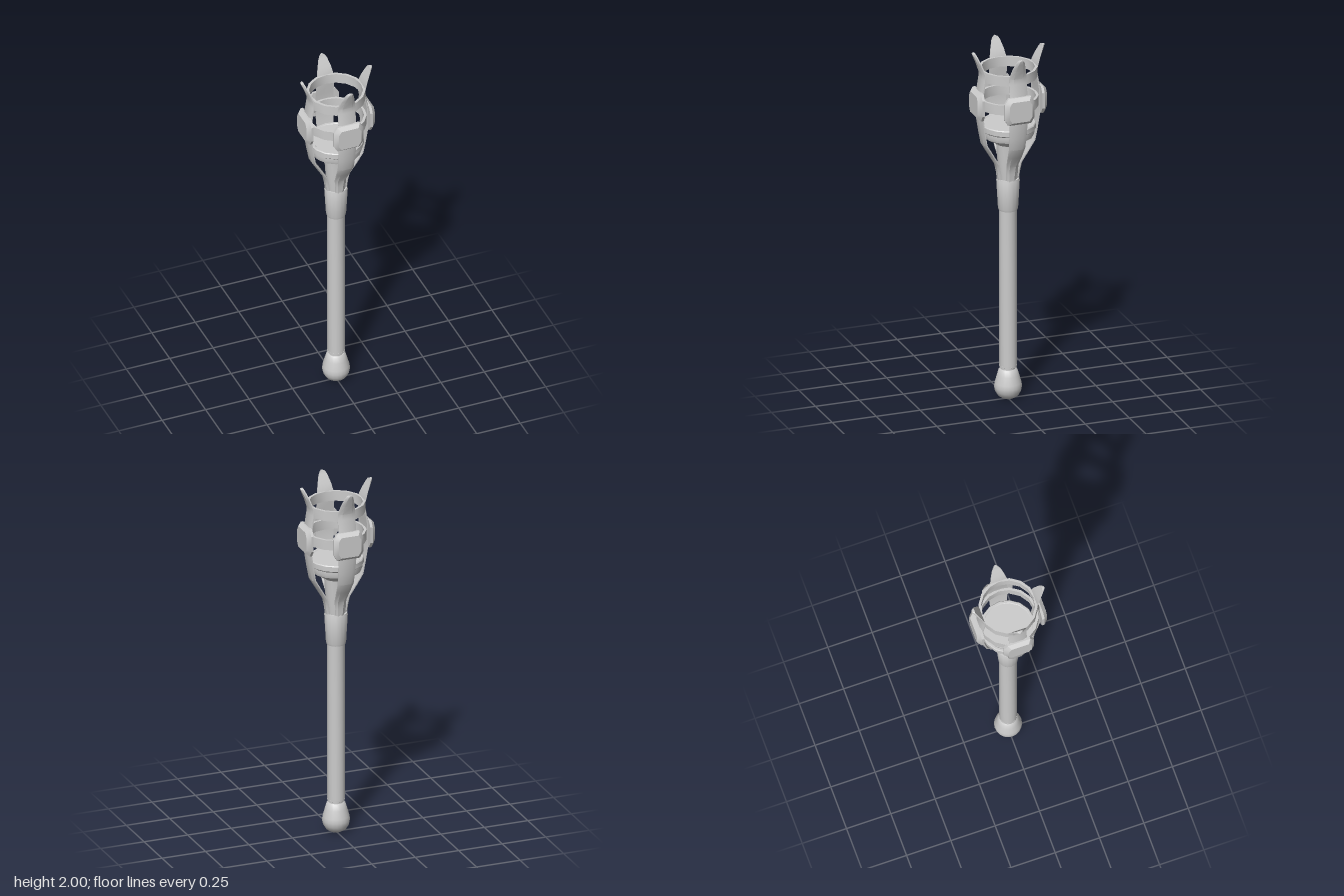
import * as THREE from 'three';
import { toCreasedNormals } from 'three/addons/utils/BufferGeometryUtils.js';

const material = new THREE.MeshStandardMaterial({ color: 0xcccccc });

function addMesh(parent, name, geometry, crease = 0.6) {
  const mesh = new THREE.Mesh(toCreasedNormals(geometry, crease), material);
  mesh.name = name;
  parent.add(mesh);
  return mesh;
}

// Turned part from [radius, y] pairs, listed from bottom to top on the outside
function turned(parent, name, profile, sides = 16) {
  const points = profile.map(([r, y]) => new THREE.Vector2(r, y));
  return addMesh(parent, name, new THREE.LatheGeometry(points, sides));
}

// Prong stations: [outer radius, y, half width]
const PRONG = [
  [0.058, 1.25, 0.024], [0.064, 1.3, 0.027], [0.073, 1.345, 0.032],
  [0.112, 1.41, 0.04], [0.147, 1.47, 0.045], [0.16, 1.54, 0.048],
  [0.174, 1.63, 0.05], [0.176, 1.70, 0.05], [0.171, 1.77, 0.05],
  [0.158, 1.85, 0.05], [0.158, 1.88, 0.049], [0.176, 1.93, 0.038],
  [0.196, 1.975, 0.024], [0.204, 1.993, 0.014], [0.205, 2.0, 0.006],
];

// Sweeps a strip with bevelled outer edges through the stations, facing +z
function prongGeometry() {
  const thickness = 0.015;
  const section = [[-1, 1], [1, 1], [1, 0.6], [0.55, 0], [-0.55, 0], [-1, 0.6]];
  const n = section.length;
  const positions = [], index = [];
  PRONG.forEach(([r, y, w], i) => {
    const a = PRONG[Math.max(i - 1, 0)], b = PRONG[Math.min(i + 1, PRONG.length - 1)];
    const len = Math.hypot(b[0] - a[0], b[1] - a[1]);
    const inR = -(b[1] - a[1]) / len, inY = (b[0] - a[0]) / len;
    for (const [u, d] of section) {
      const depth = d * thickness;
      positions.push(u * w, Math.min(y + inY * depth, 2), r + inR * depth);
    }
  });
  for (let i = 0; i < PRONG.length - 1; i++) {
    for (let j = 0; j < n; j++) {
      const a = i * n + j, b = i * n + (j + 1) % n;
      index.push(a, a + n, b, b, a + n, b + n);
    }
  }
  // End caps
  const top = (PRONG.length - 1) * n;
  for (let j = 1; j < n - 1; j++) {
    index.push(0, j, j + 1, top, top + j + 1, top + j);
  }
  const geometry = new THREE.BufferGeometry();
  geometry.setAttribute('position', new THREE.Float32BufferAttribute(positions, 3));
  geometry.setIndex(index);
  return geometry;
}

// Chamfered octagonal boss, facing +z
function bossGeometry() {
  const outline = [[0.058, -0.07], [0.077, -0.04], [0.077, 0.04], [0.058, 0.07],
    [-0.058, 0.07], [-0.077, 0.04], [-0.077, -0.04], [-0.058, -0.07]];
  const rows = [[1.1, 0.163], [1.1, 0.177], [0.84, 0.197]];
  const positions = [], index = [];
  for (const [s, z] of rows) for (const [x, y] of outline) positions.push(x * s, y * s, z);
  for (let i = 0; i < 2; i++) {
    for (let j = 0; j < 8; j++) {
      const a = i * 8 + j, b = i * 8 + (j + 1) % 8;
      index.push(a, b, a + 8, b, b + 8, a + 8);
    }
  }
  for (let j = 1; j < 7; j++) index.push(0, j + 1, j, 16, 16 + j, 17 + j);
  const geometry = new THREE.BufferGeometry();
  geometry.setAttribute('position', new THREE.Float32BufferAttribute(positions, 3));
  geometry.setIndex(index);
  return geometry;
}

export function createModel() {
  const model = new THREE.Group();
  model.name = 'sceptre';

  // Handle
  turned(model, 'pommel', [[0, 0], [0.03, 0.004], [0.055, 0.02], [0.07, 0.045], [0.075, 0.07],
    [0.072, 0.092], [0.06, 0.135], [0.051, 0.165], [0.044, 0.172], [0, 0.172]], 20);
  turned(model, 'neckRing', [[0, 0.165], [0.04, 0.165], [0.04, 0.18], [0.048, 0.184],
    [0.048, 0.192], [0, 0.192]]);
  turned(model, 'shaft', [[0, 0.185], [0.047, 0.185], [0.047, 1.1], [0, 1.1]]);
  turned(model, 'sleeve', [[0, 1.08], [0.051, 1.08], [0.054, 1.09], [0.063, 1.25],
    [0.06, 1.26], [0, 1.26]]);

  // Cone and bowl inside the cage
  turned(model, 'cone', [[0, 1.25], [0.05, 1.25], [0.064, 1.47], [0, 1.47]]);
  turned(model, 'bowl', [[0, 1.46], [0.064, 1.46], [0.085, 1.475], [0.135, 1.505], [0.14, 1.52],
    [0.14, 1.54], [0.149, 1.548], [0.149, 1.575], [0.145, 1.58], [0.134, 1.58],
    [0.131, 1.577], [0, 1.577]]);

  // Hoops
  for (const [name, y, r] of [['lowerHoop', 1.705, 0.163], ['upperHoop', 1.868, 0.157]]) {
    const h = 0.028;
    turned(model, name, [[r - 0.014, y - h], [r, y - h], [r, y + h], [r - 0.014, y + h],
      [r - 0.014, y - h]]);
  }

  // Four prongs, each with a boss
  const prong = prongGeometry(), boss = bossGeometry();
  for (let i = 0; i < 4; i++) {
    const arm = new THREE.Group();
    arm.name = 'arm' + (i + 1);
    addMesh(arm, 'prong', prong, 0.5);
    addMesh(arm, 'boss', boss, 0.4).position.y = 1.705;
    arm.rotation.y = i * Math.PI / 2;
    model.add(arm);
  }
  return model;
}
